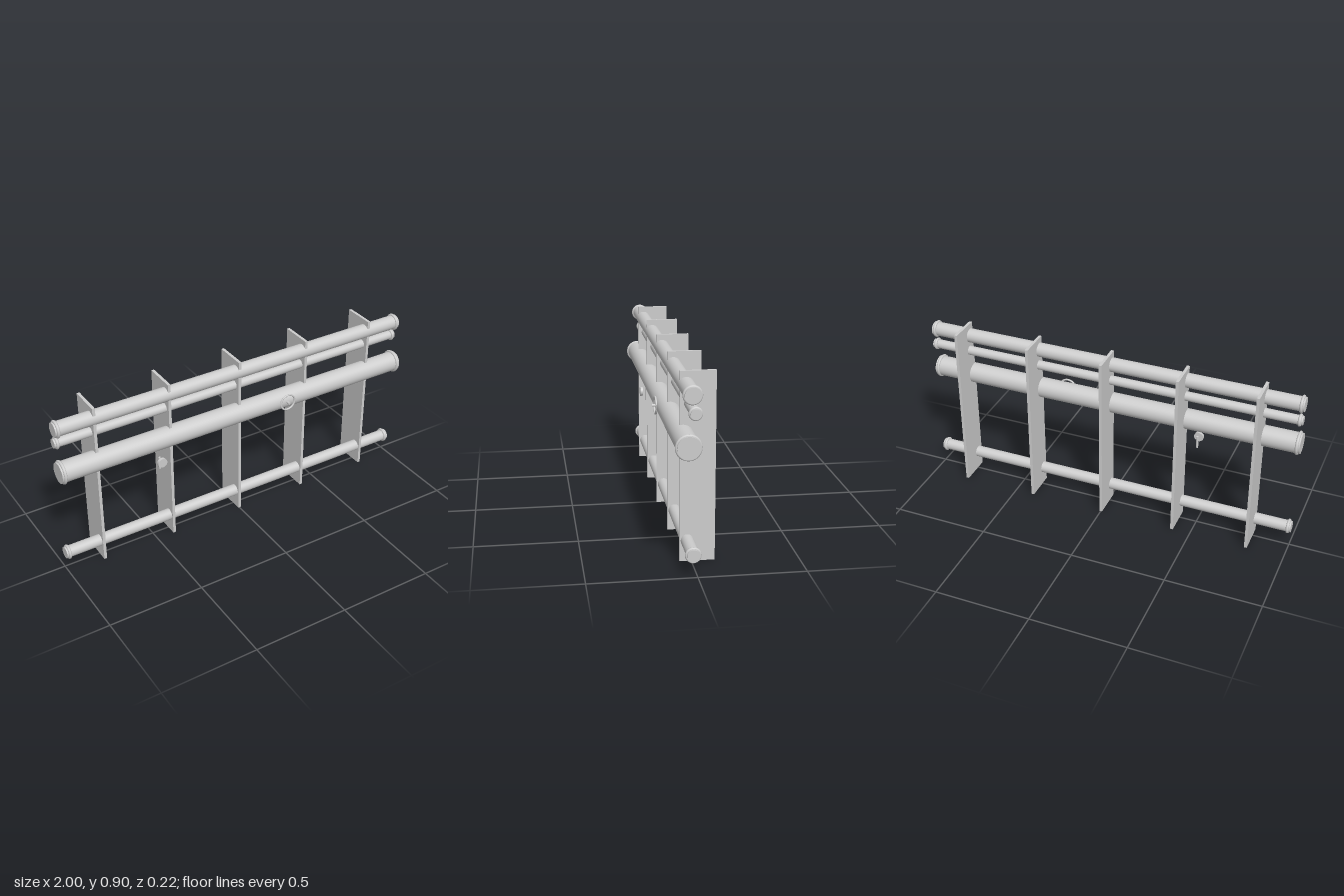
import * as THREE from 'three';

export function createModel() {
  const group = new THREE.Group();
  const steel = new THREE.MeshStandardMaterial({ color: 0xcccccc });
  steel.name = 'light grey steel';

  const add = (name, geometry, x, y, z) => {
    const mesh = new THREE.Mesh(geometry, steel);
    mesh.name = name;
    mesh.position.set(x, y, z);
    group.add(mesh);
    return mesh;
  };

  // Upright support plates
  for (let i = -2; i <= 2; i++) {
    add('supportPlate', new THREE.BoxGeometry(0.015, 0.9, 0.165), i * 0.4, 0.45, -0.0275);
  }

  // Horizontal pipes, each with a rounded collar near both ends
  const collar = 0.008;
  const pipes = [
    ['topPipe', 0.037, 0.835, 0.026],
    ['thinPipe', 0.024, 0.752, 0.0125],
    ['mainPipe', 0.053, 0.601, 0.042],
    ['bottomPipe', 0.03, 0.101, 0.019],
  ];
  for (const [name, radius, y, z] of pipes) {
    const body = new THREE.CylinderGeometry(radius, radius, 2, 48).rotateZ(Math.PI / 2);
    add(name, body, 0, y, z);
    for (const side of [-1, 1]) {
      const ring = new THREE.TorusGeometry(radius, collar, 12, 48).rotateY(Math.PI / 2);
      add(name + 'Collar', ring, side * 0.984, y, z);
    }
  }

  // Valve handwheel and spindle on the main pipe
  add('valveWheel', new THREE.TorusGeometry(0.042, 0.005, 10, 40), 0.267, 0.601, 0.095);
  add('valveSpindle', new THREE.CylinderGeometry(0.007, 0.007, 0.04, 16).rotateX(Math.PI / 2), 0.267, 0.601, 0.091);

  // Round gauge with its stem behind
  add('gaugeDial', new THREE.CylinderGeometry(0.025, 0.025, 0.014, 32).rotateX(Math.PI / 2), -0.467, 0.484, 0.078);
  add('gaugeStem', new THREE.CylinderGeometry(0.006, 0.006, 0.066, 16), -0.467, 0.467, 0.051);

  return group;
}
